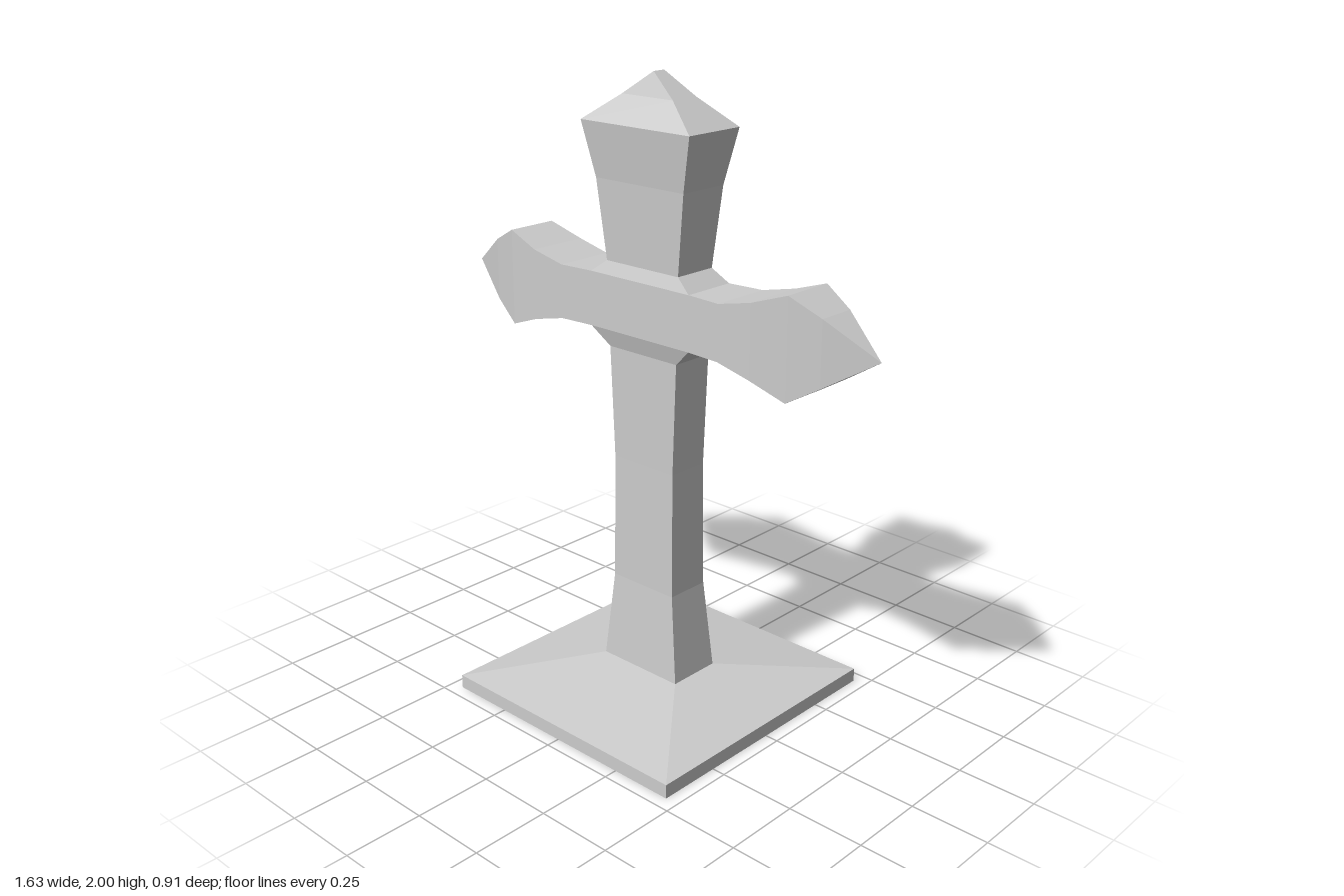
import * as THREE from 'three';

const material = new THREE.MeshStandardMaterial({ color: 0xcccccc, flatShading: true });

// Lofts rectangular sections [t, a, cLow, cHigh, openAfter] along the y or x axis.
// a is the half width; cLow..cHigh the span of the other direction.
function loft(name, sections, axis, capStart = false, capEnd = false) {
  const place = axis === 'y' ? (t, a, c) => [a, t, c] : (t, a, c) => [t, c, a];
  const rings = sections.map(([t, a, lo, hi]) => [
    place(t, a, hi), place(t, a, lo), place(t, -a, lo), place(t, -a, hi),
  ]);
  const pos = [];
  const quad = (p, q, r, s) => pos.push(...p, ...q, ...r, ...p, ...r, ...s);
  for (let k = 0; k < rings.length - 1; k++) {
    for (let i = 0; i < 4; i++) {
      if (sections[k][4] && i % 2 === 1) continue; // leave room for the shafts
      const j = (i + 1) % 4;
      quad(rings[k][i], rings[k][j], rings[k + 1][j], rings[k + 1][i]);
    }
  }
  if (capStart) quad(...[...rings[0]].reverse());
  if (capEnd) quad(...rings[rings.length - 1]);
  const geometry = new THREE.BufferGeometry();
  geometry.setAttribute('position', new THREE.Float32BufferAttribute(pos, 3));
  geometry.computeVertexNormals();
  const mesh = new THREE.Mesh(geometry, material);
  mesh.name = name;
  return mesh;
}

// Upright section: height, half width, half depth
const up = ([y, hx, hz]) => [y, hx, -hz, hz];

export function createModel() {
  const group = new THREE.Group();
  group.name = 'standingCross';

  // Square plinth with a sloping top
  group.add(loft('base', [
    [0, 0.457, 0.457], [0.045, 0.457, 0.457], [0.1, 0.155, 0.09],
  ].map(up), 'y', true, true));

  // Shaft, flaring at the foot and at the crossing
  group.add(loft('shaft', [
    [0.1, 0.155, 0.09], [0.39, 0.125, 0.074], [0.8, 0.122, 0.07],
    [1.16, 0.137, 0.072], [1.217, 0.2, 0.089],
  ].map(up), 'y'));

  // Widening head
  group.add(loft('head', [
    [1.39, 0.2, 0.089], [1.43, 0.145, 0.074], [1.68, 0.175, 0.086], [1.85, 0.215, 0.107],
  ].map(up), 'y'));

  // Pointed cap ending in a short ridge from front to back
  group.add(loft('cap', [
    [1.85, 0.215, 0.107], [1.93, 0.1, 0.05], [2, 0, 0.022],
  ].map(up), 'y'));

  // Crossbar: x, half depth, bottom, top; mirrored to both sides
  const arm = [
    [0.2, 0.089, 1.217, 1.39], [0.32, 0.099, 1.217, 1.39], [0.44, 0.101, 1.19, 1.417],
    [0.56, 0.087, 1.147, 1.458], [0.66, 0.062, 1.207, 1.407], [0.815, 0, 1.303, 1.303],
  ];
  const mirrored = arm.map(([x, ...rest]) => [-x, ...rest]).reverse();
  mirrored[mirrored.length - 1].push(true);
  group.add(loft('crossbar', [...mirrored, ...arm], 'x'));

  return group;
}
